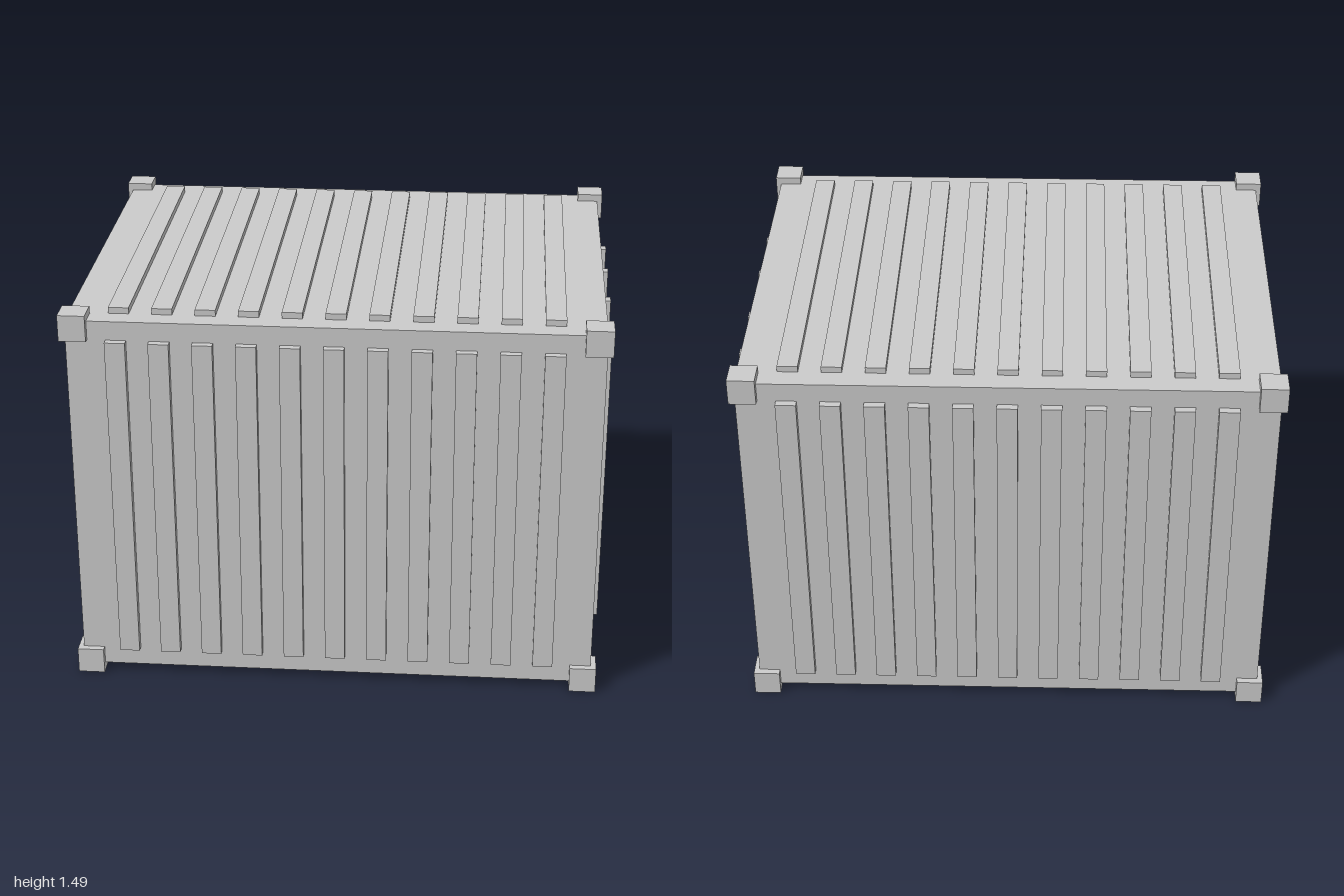
import * as THREE from 'three';

export function createModel() {
  const model = new THREE.Group();
  model.name = 'shippingContainer';
  const material = new THREE.MeshStandardMaterial({ color: 0xcccccc, flatShading: true });

  // Box given by its extents along each axis
  function box(name, [x0, x1], [y0, y1], [z0, z1]) {
    const mesh = new THREE.Mesh(new THREE.BoxGeometry(x1 - x0, y1 - y0, z1 - z0), material);
    mesh.position.set((x0 + x1) / 2, (y0 + y1) / 2, (z0 + z1) / 2);
    mesh.name = name;
    model.add(mesh);
  }

  const midX = -0.006; // the end ribs push the body slightly off centre

  // Main body
  box('body', [midX - 0.974, midX + 0.974], [0.03, 1.457], [-0.767, 0.767]);

  // Corner castings
  for (const sx of [-1, 1])
    for (const sz of [-1, 1])
      for (const y of [0, 1.385]) {
        const x = midX + sx * 0.944, z = sz * 0.742;
        box('cornerCasting', [x - 0.05, x + 0.05], [y, y + 0.1], [z - 0.05, z + 0.05]);
      }

  // Ribs over the roof and down both long sides
  for (let i = -5; i <= 5; i++) {
    const x = midX + i * 0.158;
    const span = [x - 0.0375, x + 0.0375];
    box('roofRib', span, [1.44, 1.48], [-0.687, 0.687]);
    box('frontRib', span, [0.105, 1.385], [0.75, 0.795]);
    box('backRib', span, [0.105, 1.385], [-0.795, -0.75]);
  }

  // Narrow ribs on the left end only
  for (const z of [-0.41, -0.154, 0.154, 0.41])
    box('endRib', [0.95, 1], [0.13, 1.357], [z - 0.02, z + 0.02]);

  return model;
}
